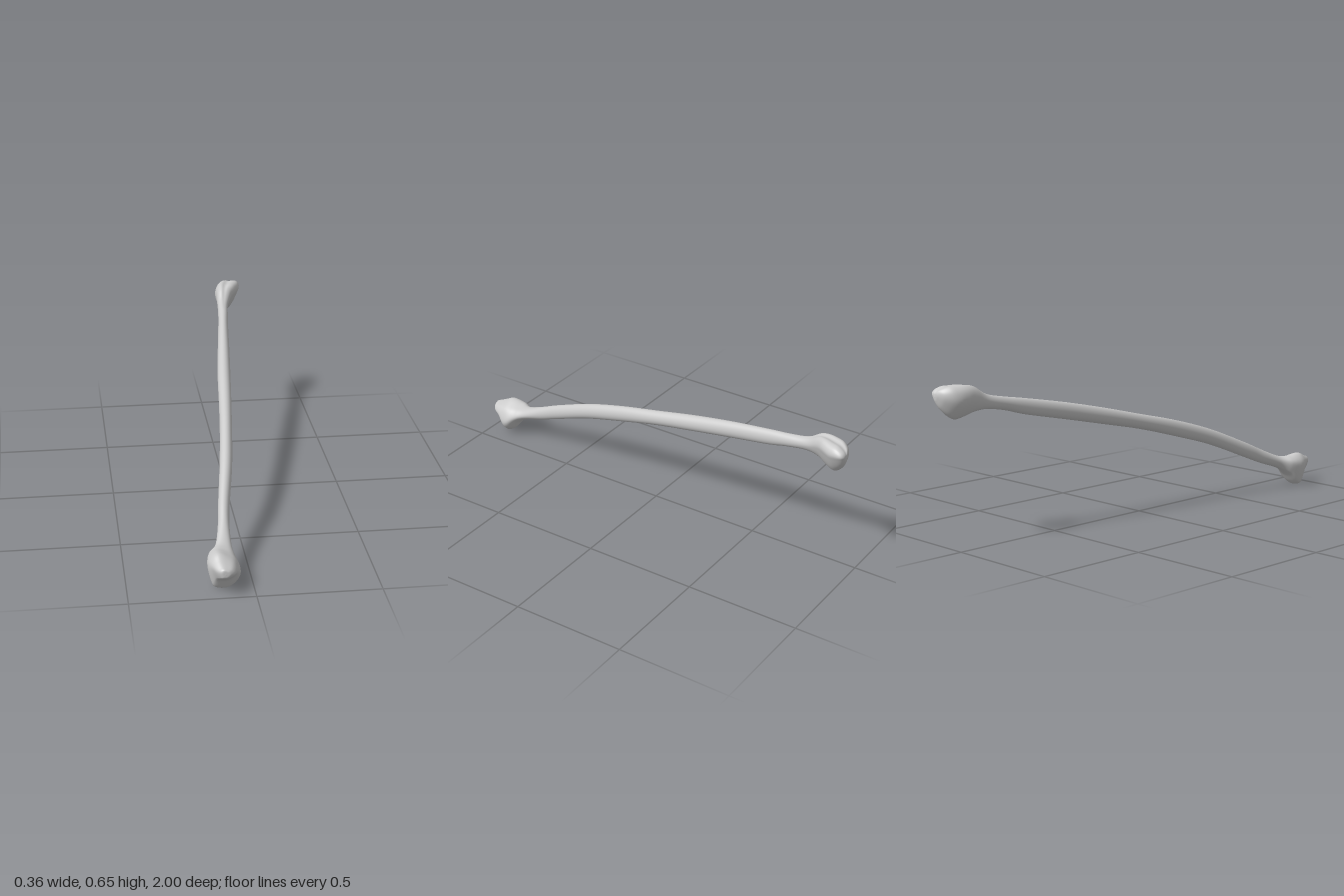
import * as THREE from 'three';
import { mergeVertices } from 'three/addons/utils/BufferGeometryUtils.js';

const AROUND = 48, ALONG = 240;

// closed unit outline (counter-clockwise from the right), evenly resampled
function outline(points) {
  const curve = new THREE.CatmullRomCurve3(points.map(([x, y]) => new THREE.Vector3(x, y, 0)), true);
  return curve.getSpacedPoints(AROUND);
}

const frontOutline = outline([[1, -0.2], [0.7, 0.5], [0.25, 0.8], [-0.45, 1], [-0.9, 0.65], [-1, 0.3],
  [-0.8, -0.6], [-0.65, -0.88], [0.1, -1], [0.7, -0.7]]);
const backOutline = outline([[1, 0.5], [0.8, 0.85], [0.4, 0.97], [0, 0.9], [-0.4, 1], [-0.85, 0.7],
  [-1, 0.2], [-0.85, -0.3], [-0.3, -0.95], [0, -1], [0.4, -0.65], [0.85, 0.1]]);

// each row: z, left x, right x, bottom y, top y, share of the knobby end outline
const frontEnd = [
  [1, -0.12, -0.12, 0.103, 0.103, 1],
  [0.997, -0.138, -0.1, 0.085, 0.12, 1],
  [0.98, -0.153, -0.083, 0.072, 0.126, 1],
  [0.95, -0.168, -0.068, 0.05, 0.138, 1],
  [0.92, -0.18, -0.054, 0.003, 0.151, 1],
  [0.89, -0.182, -0.051, 0.012, 0.15, 1],
  [0.85, -0.172, -0.064, 0.06, 0.145, 0.8],
  [0.8, -0.14, -0.073, 0.092, 0.15, 0.4],
];
const shaft = [
  [0.7, -0.118, -0.07, 0.127, 0.192, 0],
  [0.6, -0.105, -0.057, 0.168, 0.238, 0],
  [0.4, -0.075, -0.022, 0.25, 0.322, 0],
  [0.2, -0.05, 0.003, 0.312, 0.385, 0],
  [0, -0.03, 0.025, 0.368, 0.435, 0],
  [-0.2, -0.012, 0.046, 0.413, 0.485, 0],
  [-0.4, 0.012, 0.066, 0.457, 0.53, 0],
  [-0.6, 0.038, 0.085, 0.5, 0.568, 0],
  [-0.7, 0.05, 0.096, 0.528, 0.585, 0],
];
const backEnd = [
  [-0.79, 0.057, 0.107, 0.543, 0.605, 0.3],
  [-0.85, 0.058, 0.13, 0.538, 0.642, 0.7],
  [-0.89, 0.058, 0.155, 0.524, 0.652, 1],
  [-0.93, 0.062, 0.174, 0.515, 0.652, 1],
  [-0.96, 0.075, 0.181, 0.532, 0.65, 1],
  [-0.985, 0.1, 0.179, 0.562, 0.639, 1],
  [-0.997, 0.128, 0.167, 0.59, 0.626, 1],
  [-1, 0.147, 0.147, 0.61, 0.61, 1],
];

// smooth loft through all the sections
function boneGeometry() {
  const rows = [...frontEnd, ...shaft, ...backEnd];
  const smooth = (fn) => new THREE.CatmullRomCurve3(
    rows.map((r) => new THREE.Vector3(...fn(r))), false, 'catmullrom', 0.5);
  const centres = smooth(([z, x0, x1, y0, y1]) => [(x0 + x1) / 2, (y0 + y1) / 2, z]);
  const sizes = smooth(([, x0, x1, y0, y1, k]) => [(x1 - x0) / 2, (y1 - y0) / 2, k]);

  const position = [], index = [];
  for (let i = 0; i <= ALONG; i++) {
    const c = centres.getPoint(i / ALONG), s = sizes.getPoint(i / ALONG);
    const knob = c.z > 0 ? frontOutline : backOutline;
    const k = THREE.MathUtils.clamp(s.z, 0, 1);
    for (let j = 0; j < AROUND; j++) {
      const a = (j / AROUND) * Math.PI * 2;
      const u = THREE.MathUtils.lerp(Math.cos(a), knob[j].x, k);
      const v = THREE.MathUtils.lerp(Math.sin(a), knob[j].y, k);
      position.push(c.x + u * s.x, c.y + v * s.y, c.z);
      if (i < ALONG) {
        const p = i * AROUND + j, q = i * AROUND + (j + 1) % AROUND;
        index.push(p, p + AROUND, q, q, p + AROUND, q + AROUND);
      }
    }
  }
  let geometry = new THREE.BufferGeometry();
  geometry.setAttribute('position', new THREE.Float32BufferAttribute(position, 3));
  geometry.setIndex(index);
  geometry = mergeVertices(geometry, 1e-5); // join each end ring into one tip
  geometry.computeVertexNormals();
  return geometry;
}

export function createModel() {
  const group = new THREE.Group();
  group.name = 'longBone';
  const bone = new THREE.Mesh(boneGeometry(), new THREE.MeshStandardMaterial({ color: 0xcccccc }));
  bone.name = 'boneShaftWithEnds';
  group.add(bone);
  return group;
}
